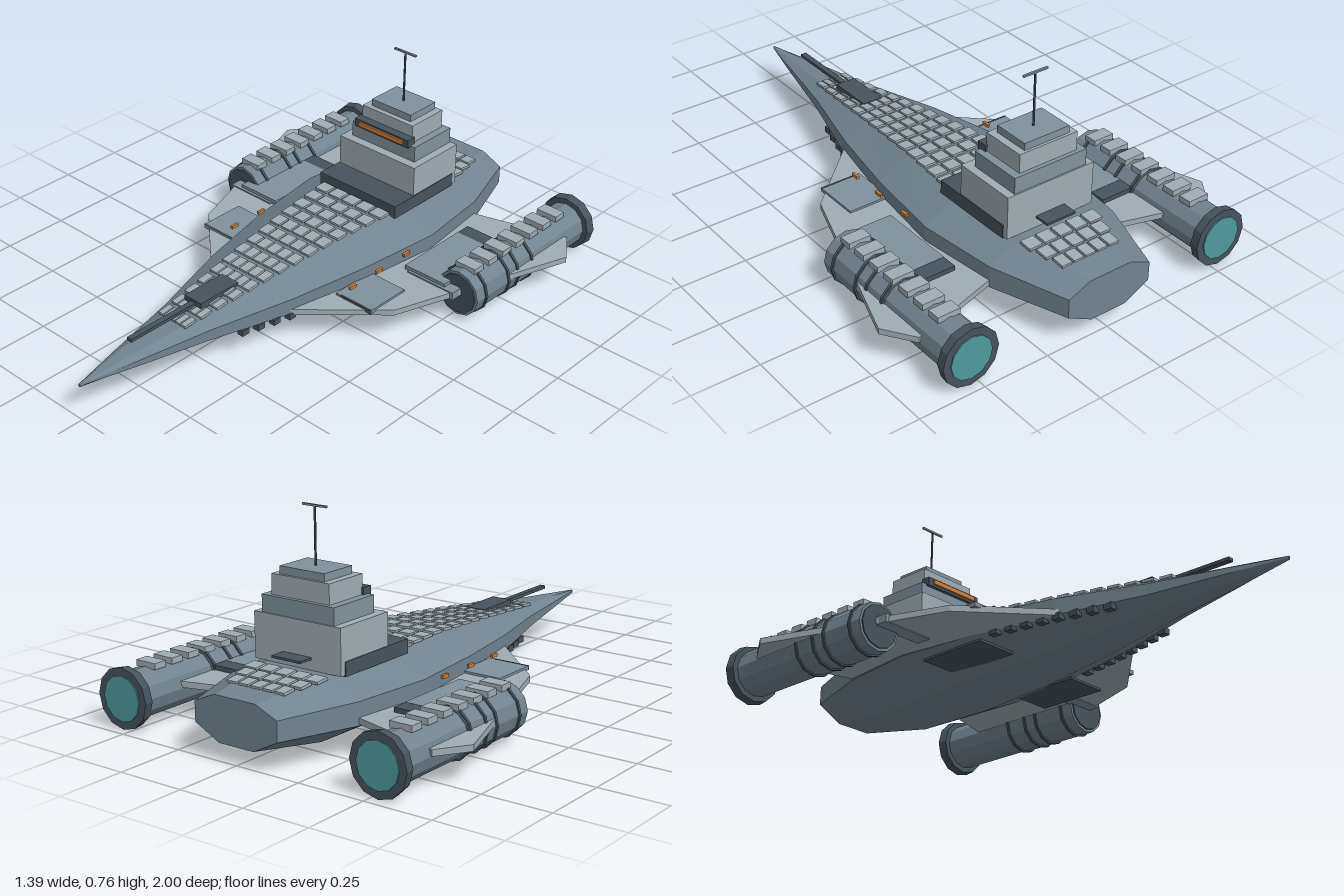
import * as THREE from 'three';

const mat = (color) => new THREE.MeshStandardMaterial({ color, flatShading: true });

// Hull stations: z, half width, top y, upper side y, lower side y, bottom y
const STATIONS = [
  [1.0, 0.004, 0.15, 0.147, 0.143, 0.138],
  [0.8, 0.05, 0.168, 0.155, 0.135, 0.116],
  [0.52, 0.11, 0.193, 0.165, 0.125, 0.093],
  [0.2, 0.2, 0.226, 0.178, 0.118, 0.062],
  [-0.1, 0.26, 0.252, 0.187, 0.115, 0.04],
  [-0.42, 0.3, 0.258, 0.192, 0.112, 0.028],
  [-0.72, 0.265, 0.248, 0.19, 0.11, 0.025],
  [-1.0, 0.17, 0.222, 0.185, 0.115, 0.065],
];

// Interpolates one hull column at z
function hullAt(z, col) {
  let i = 0;
  while (i < STATIONS.length - 2 && STATIONS[i + 1][0] > z) i++;
  const a = STATIONS[i], b = STATIONS[i + 1];
  return THREE.MathUtils.mapLinear(z, a[0], b[0], a[col], b[col]);
}

function hullGeometry() {
  const rings = STATIONS.map(([z, w, top, up, low, bot]) => {
    const half = [[w, low], [w, up], [w * 0.5, top]];
    return [
      ...half, ...half.slice().reverse().map(([x, y]) => [-x, y]),
      [-w * 0.42, bot], [w * 0.42, bot],
    ].map(([x, y]) => [x, y, z]);
  });
  const pos = [];
  const n = rings[0].length;
  for (let r = 0; r < rings.length - 1; r++) {
    for (let i = 0; i < n; i++) {
      const j = (i + 1) % n, A = rings[r], B = rings[r + 1];
      pos.push(...A[i], ...B[i], ...A[j], ...A[j], ...B[i], ...B[j]);
    }
  }
  const first = rings[0], last = rings[rings.length - 1];
  for (let i = 1; i < n - 1; i++) {
    pos.push(...first[0], ...first[i], ...first[i + 1]);
    pos.push(...last[0], ...last[i + 1], ...last[i]);
  }
  const g = new THREE.BufferGeometry();
  g.setAttribute('position', new THREE.Float32BufferAttribute(pos, 3));
  g.computeVertexNormals();
  return g;
}

export function createModel() {
  const model = new THREE.Group();
  model.name = 'spaceship';
  const hullMat = mat(0x71838f), light = mat(0xa0adb4), mid = mat(0x80929d);
  const dark = mat(0x46535d), orange = mat(0xd0803a), teal = mat(0x4f9a9c);

  const add = (parent, name, geo, material) => {
    const m = new THREE.Mesh(geo, material);
    m.name = name;
    parent.add(m);
    return m;
  };
  // Box given by its limits on each axis
  const box = (parent, name, material, x0, x1, y0, y1, z0, z1) => {
    const m = add(parent, name, new THREE.BoxGeometry(Math.abs(x1 - x0), y1 - y0, Math.abs(z1 - z0)), material);
    m.position.set((x0 + x1) / 2, (y0 + y1) / 2, (z0 + z1) / 2);
    return m;
  };
  // Cylinder along z; r0 is the front radius
  const tube = (parent, name, material, r0, r1, x, y, z0, z1, sides = 12) => {
    const g = new THREE.CylinderGeometry(r0, r1, Math.abs(z1 - z0), sides).rotateX(Math.PI / 2);
    const m = add(parent, name, g, material);
    m.position.set(x, y, (z0 + z1) / 2);
    return m;
  };
  const group = (name) => {
    const g = new THREE.Group();
    g.name = name;
    model.add(g);
    return g;
  };

  add(model, 'hull', hullGeometry(), hullMat);

  // Armour plates in rows along the deck, tilted with its slope
  const deck = group('deckPlates');
  const plateRow = (z, halfSpan, columns) => {
    const pitch = (2 * halfSpan) / columns;
    const slope = Math.atan2(hullAt(z - 0.02, 2) - hullAt(z + 0.02, 2), 0.04);
    for (let c = 0; c < columns; c++) {
      const plate = add(deck, 'deckPlate', new THREE.BoxGeometry(pitch * 0.82, 0.01, 0.05), light);
      plate.position.set((c - (columns - 1) / 2) * pitch, hullAt(z, 2) + 0.003, z);
      plate.rotation.x = slope;
    }
  };
  for (let i = 0; i < 14; i++) plateRow(-0.32 + i * 0.068, 0.165 - i * 0.0075, 5);
  [-0.76, -0.82, -0.88].forEach((z, i) => plateRow(z, 0.16 - i * 0.018, 5));

  // Stepped command tower
  const tower = group('commandTower');
  box(tower, 'towerBase', dark, -0.183, 0.183, 0.245, 0.295, -0.35, -0.68);
  box(tower, 'lowerTier', light, -0.18, 0.18, 0.25, 0.41, -0.455, -0.7);
  box(tower, 'secondTier', mid, -0.15, 0.15, 0.41, 0.47, -0.49, -0.695);
  box(tower, 'thirdTier', light, -0.12, 0.12, 0.47, 0.54, -0.51, -0.68);
  box(tower, 'topTier', mid, -0.093, 0.093, 0.54, 0.567, -0.53, -0.67);
  box(tower, 'bridgeFrame', dark, -0.128, 0.128, 0.463, 0.495, -0.477, -0.515);
  box(tower, 'bridgeWindow', orange, -0.105, 0.105, 0.472, 0.489, -0.47, -0.48);
  box(tower, 'rearLedge', dark, -0.06, 0.06, 0.285, 0.293, -0.7, -0.757);
  const mast = add(tower, 'mast', new THREE.CylinderGeometry(0.004, 0.004, 0.2, 6), dark);
  mast.position.set(0, 0.665, -0.6);
  box(tower, 'mastCrossbar', mid, -0.05, 0.05, 0.761, 0.768, -0.596, -0.604);

  // Bow cannon
  const cannon = group('bowCannon');
  box(cannon, 'cannonHousing', dark, -0.04, 0.04, 0.19, 0.225, 0.31, 0.49);
  box(cannon, 'cannonBarrel', dark, -0.011, 0.011, 0.203, 0.215, 0.45, 0.78);

  for (const s of [1, -1]) {
    const side = s > 0 ? 'left' : 'right';
    const X = (x) => x * s;

    // Swept wing slab with raised panels
    const wing = group(side + 'Wing');
    const outline = [[0.12, 0.28], [0.18, 0.23], [0.46, -0.03], [0.695, -0.71], [0.62, -0.82], [0.27, -0.72], [0.12, -0.7]];
    const shape = new THREE.Shape(outline.map(([x, z]) => new THREE.Vector2(X(x), -z)));
    const slab = new THREE.ExtrudeGeometry(shape, { depth: 0.022, bevelEnabled: false }).rotateX(-Math.PI / 2);
    add(wing, 'wingSlab', slab, light).position.y = 0.115;
    box(wing, 'enginePylon', mid, X(0.32), X(0.5), 0.12, 0.155, -0.25, -0.55);
    box(wing, 'pylonEnd', dark, X(0.32), X(0.5), 0.12, 0.154, -0.55, -0.61);
    box(wing, 'wingPanel', mid, X(0.25), X(0.41), 0.13, 0.145, 0.04, -0.14);
    box(wing, 'panelEdge', dark, X(0.27), X(0.41), 0.13, 0.146, 0.04, 0.034);
    box(wing, 'pylonFrontPlate', mid, X(0.34), X(0.545), 0.112, 0.142, -0.24, -0.3);

    // Engine nacelle
    const engine = group(side + 'Engine');
    const ex = X(0.53), ey = 0.112;
    tube(engine, 'nacelle', hullMat, 0.084, 0.084, ex, ey, -0.3, -0.94);
    tube(engine, 'frontCasing', hullMat, 0.088, 0.088, ex, ey, -0.29, -0.62);
    tube(engine, 'intakeCover', dark, 0.078, 0.078, ex, ey, -0.285, -0.3);
    for (const z of [-0.34, -0.47, -0.525, -0.61]) tube(engine, 'engineBand', dark, 0.094, 0.094, ex, ey, z + 0.005, z - 0.005);
    tube(engine, 'nozzle', dark, 0.104, 0.108, ex, ey, -0.932, -0.967);
    tube(engine, 'exhaustGlow', teal, 0.08, 0.08, ex, ey, -0.96, -0.971);
    for (let i = 0; i < 7; i++) {
      const z = -0.35 - i * 0.08;
      box(engine, 'enginePlate', light, X(0.487), X(0.573), 0.19, 0.212, z + 0.025, z - 0.025);
    }

    // Side lights, belly plates and ribs along the lower hull edge
    const details = group(side + 'HullDetails');
    for (const z of [0, -0.14, -0.29]) box(details, 'sideLight', orange, X(0.286), X(0.296), 0.164, 0.176, z + 0.016, z - 0.016);
    box(details, 'bellyPlate', dark, X(0.15), X(0.31), 0.057, 0.066, -0.03, -0.3);
    for (let i = 0; i < 8; i++) {
      const z = 0.39 - i * 0.06, x = hullAt(z, 1);
      box(details, 'hullRib', dark, X(x - 0.02), X(x + 0.006), 0.1, 0.122, z + 0.016, z - 0.016);
    }
  }
  return model;
}
